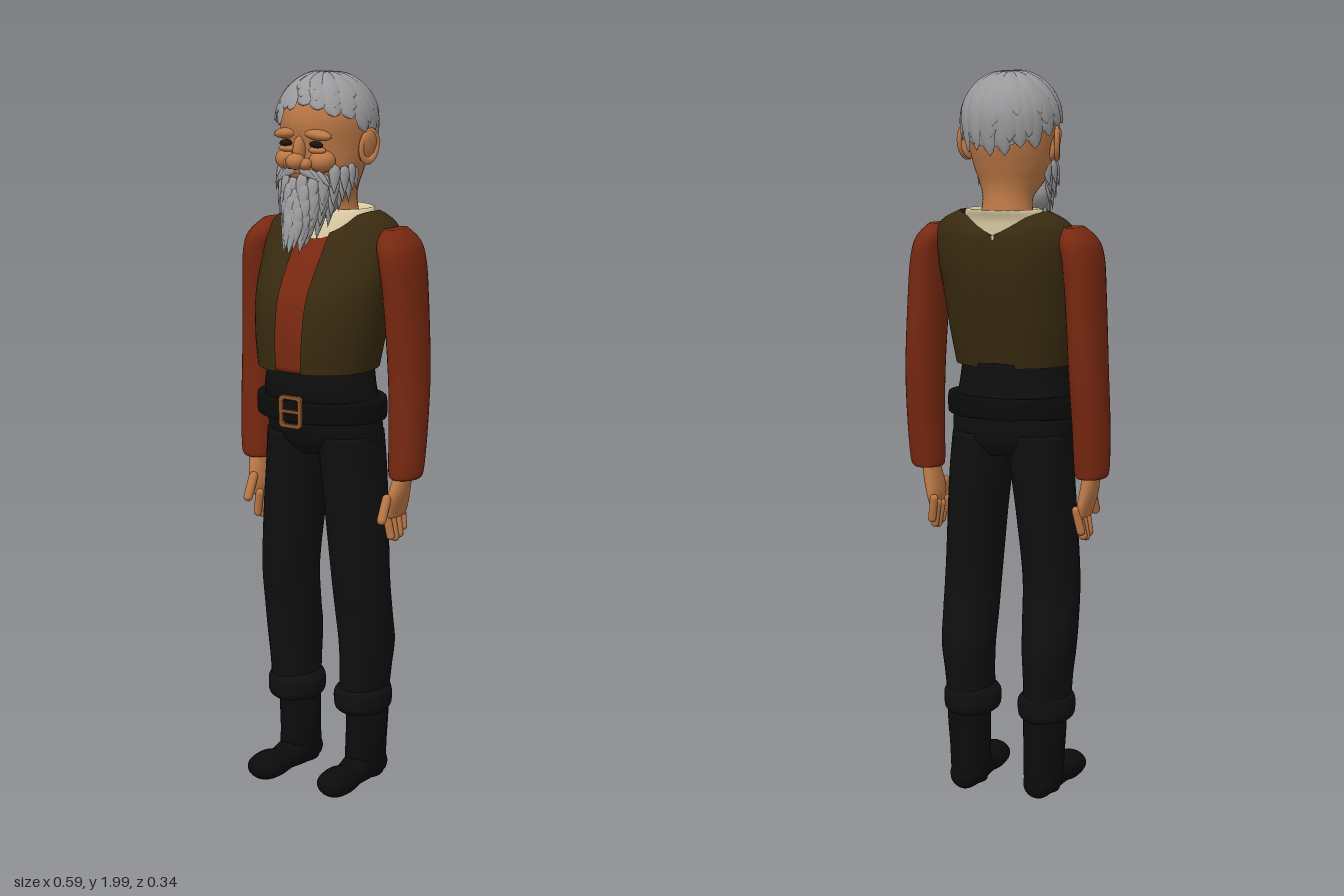
import * as THREE from 'three';
import { mergeVertices, mergeGeometries } from 'three/addons/utils/BufferGeometryUtils.js';

const mat = (name, color, double) => {
  const m = new THREE.MeshStandardMaterial({ color });
  m.name = name;
  if (double) m.side = THREE.DoubleSide;
  return m;
};

// Grid surface from a rule fn(u, v) -> [x, y, z], welded and smooth
function surface(nu, nv, fn) {
  const pos = [], idx = [];
  for (let j = 0; j <= nv; j++) for (let i = 0; i <= nu; i++) pos.push(...fn(i / nu, j / nv));
  for (let j = 0; j < nv; j++) for (let i = 0; i < nu; i++) {
    const a = j * (nu + 1) + i, c = a + nu + 1;
    idx.push(a, c, a + 1, a + 1, c, c + 1);
  }
  let g = new THREE.BufferGeometry();
  g.setAttribute('position', new THREE.Float32BufferAttribute(pos, 3));
  g.setIndex(idx);
  g = mergeVertices(g, 1e-5);
  g.computeVertexNormals();
  return g;
}

// Smooth loft through oval sections [y, xMin, xMax, zMin, zMax], listed upwards
function loft(S, { from = 0, to = Math.PI * 2, open = false, bend, n = 32, power = 1 } = {}) {
  const rows = (S.length - 1) * 5, total = open ? rows : rows + 2;
  const at = (t) => {
    const i = Math.min(Math.floor(t), S.length - 2), f = t - i;
    const p = (k) => S[Math.max(0, Math.min(S.length - 1, k))];
    return S[0].map((_, c) => {
      const a = p(i - 1)[c], b = p(i)[c], d = p(i + 1)[c], e = p(i + 2)[c];
      return b + 0.5 * f * (d - a + f * (2 * a - 5 * b + 4 * d - e + f * (3 * (b - d) + e - a)));
    });
  };
  const round = (v) => Math.sign(v) * Math.pow(Math.abs(v), power);
  return surface(n, total, (u, v) => {
    const row = Math.round(v * total) - (open ? 0 : 1);
    const shut = row < 0 || row > rows ? 0 : 1;
    const [y, x0, x1, z0, z1] = at(Math.max(0, Math.min(rows, row)) / 5);
    const a = from + (to - from) * u;
    const p = [(x0 + x1) / 2 + shut * round(Math.cos(a)) * (x1 - x0) / 2, y,
      (z0 + z1) / 2 + shut * round(Math.sin(a)) * (z1 - z0) / 2];
    return bend ? bend(p) : p;
  });
}

// Pointed leaf-shaped lock hanging from a root point
function leaf(root, dir, out, length, width) {
  const prof = [[0, -1], [0.3, -0.8], [0.75, -0.5], [1, -0.22], [0.75, 0], [0, 0.1]]
    .map(([r, y]) => new THREE.Vector2(r * width, y * length));
  const g = new THREE.LatheGeometry(prof, 10);
  g.scale(1, 1, 0.5);
  const Y = dir.clone().normalize().negate();
  const X = new THREE.Vector3().crossVectors(Y, out).normalize();
  const Z = new THREE.Vector3().crossVectors(X, Y);
  return g.applyMatrix4(new THREE.Matrix4().makeBasis(X, Y, Z).setPosition(root));
}

export function createModel() {
  const model = new THREE.Group();
  const skin = mat('skin', 0xbc7846), grey = mat('grey hair', 0x9a9a9c, true);
  const red = mat('rust shirt', 0x782810), olive = mat('olive vest', 0x382a10, true);
  const black = mat('black cloth', 0x0f0f10), leather = mat('black leather', 0x0b0b0c);
  const cream = mat('cream collar', 0xd8c8a2, true), copper = mat('copper buckle', 0x8a5228);
  const dark = mat('dark eye', 0x1c110b), lipRed = mat('lip', 0x8f4f34);
  const add = (parent, name, geo, m) => {
    const mesh = new THREE.Mesh(geo, m);
    mesh.name = name;
    parent.add(mesh);
    return mesh;
  };
  const ball = (parent, name, m, p, s, rz = 0) => {
    const b = add(parent, name, new THREE.SphereGeometry(1, 20, 14), m);
    b.position.set(...p);
    b.scale.set(...s);
    b.rotation.z = rz;
    return b;
  };

  // Torso: shirt below, open-fronted vest above, with a spine groove and dipped neckline
  const chest = [[1.205, -0.165, 0.165, -0.13, 0.172], [1.3, -0.18, 0.18, -0.148, 0.172],
    [1.4, -0.19, 0.19, -0.165, 0.155], [1.48, -0.197, 0.197, -0.172, 0.11],
    [1.55, -0.2, 0.2, -0.167, 0.06], [1.595, -0.18, 0.18, -0.155, 0.03], [1.625, -0.125, 0.125, -0.135, 0.0]];
  const drape = ([x, y, z]) => {
    const top = THREE.MathUtils.smoothstep(y, 1.55, 1.625);
    return [x, y - 0.05 * top * Math.max(0, 1 - Math.abs(x) / 0.12),
      z < -0.06 ? z + 0.02 * Math.exp(-((x / 0.03) ** 2)) * (1 - top) : z];
  };
  const inner = chest.slice(0, 6).map(([y, a, b, c, d]) => [y, a + 0.008, b - 0.008, c + 0.008, d - 0.008]);
  add(model, 'shirt', loft(inner, { bend: drape, power: 0.9 }), red);
  add(model, 'vest', loft(chest, { open: true, bend: drape, n: 56, power: 0.9,
    from: Math.PI / 2 + 0.2, to: Math.PI * 2.5 - 0.2 }), olive);
  add(model, 'collar', loft([[1.55, -0.125, 0.125, -0.148, 0.05], [1.6, -0.115, 0.115, -0.148, 0.03],
    [1.63, -0.1, 0.1, -0.155, 0.01], [1.605, -0.07, 0.07, -0.11, 0.02]], { open: true }), cream);

  // Trousers seat, belt and buckle
  add(model, 'trouserSeat', loft([[0.96, -0.1, 0.1, -0.1, 0.06], [1.0, -0.165, 0.165, -0.127, 0.1],
    [1.08, -0.168, 0.168, -0.135, 0.125], [1.15, -0.157, 0.157, -0.13, 0.155],
    [1.215, -0.145, 0.145, -0.135, 0.155]]), black);
  add(model, 'belt', loft([[1.065, -0.18, 0.18, -0.135, 0.14], [1.07, -0.19, 0.19, -0.14, 0.152],
    [1.118, -0.19, 0.19, -0.14, 0.152], [1.123, -0.178, 0.178, -0.13, 0.14]]), leather);
  const frame = (w, h, r, P) => {
    const s = new P();
    s.absarc(w - r, h - r, r, 0, Math.PI / 2);
    s.absarc(r - w, h - r, r, Math.PI / 2, Math.PI);
    s.absarc(r - w, r - h, r, Math.PI, Math.PI * 1.5);
    s.absarc(w - r, r - h, r, Math.PI * 1.5, Math.PI * 2);
    s.closePath();
    return s;
  };
  const plate = frame(0.036, 0.044, 0.012, THREE.Shape);
  plate.holes.push(frame(0.026, 0.034, 0.008, THREE.Path));
  add(model, 'buckle', new THREE.ExtrudeGeometry(plate, { depth: 0.009, bevelEnabled: false }), copper)
    .position.set(0, 1.097, 0.153);
  add(model, 'bucklePin', new THREE.BoxGeometry(0.06, 0.008, 0.007), copper).position.set(0, 1.097, 0.157);

  // Limbs, built on the model's left and mirrored
  for (const side of [1, -1]) {
    const limb = new THREE.Group();
    limb.name = side > 0 ? 'leftLimbs' : 'rightLimbs';
    limb.scale.x = side;
    model.add(limb);
    add(limb, 'trouserLeg', loft([[0.25, 0.05, 0.178, -0.115, 0.045], [0.34, 0.052, 0.184, -0.127, 0.05],
      [0.42, 0.048, 0.194, -0.13, 0.053], [0.5, 0.043, 0.197, -0.112, 0.06], [0.62, 0.038, 0.195, -0.1, 0.077],
      [0.8, 0.022, 0.183, -0.117, 0.09], [0.92, 0.007, 0.175, -0.123, 0.092],
      [1.02, 0, 0.165, -0.125, 0.1]]), black);
    add(limb, 'trouserCuff', loft([[0.22, 0.05, 0.175, -0.11, 0.04], [0.235, 0.036, 0.188, -0.122, 0.054],
      [0.275, 0.034, 0.19, -0.122, 0.055], [0.295, 0.05, 0.18, -0.115, 0.045]]), black);
    add(limb, 'bootShaft', loft([[0.02, 0.065, 0.155, -0.11, 0], [0.06, 0.058, 0.163, -0.12, 0.02],
      [0.12, 0.056, 0.168, -0.114, 0.012], [0.2, 0.054, 0.175, -0.11, 0.005],
      [0.28, 0.054, 0.177, -0.11, 0.005]]), leather);
    add(limb, 'bootFoot', loft([[-0.12, 0.09, 0.13, -0.05, -0.025], [-0.1, 0.07, 0.152, -0.09, -0.004],
      [-0.03, 0.062, 0.158, -0.1, -0.004], [0.04, 0.068, 0.16, -0.075, -0.01],
      [0.09, 0.066, 0.167, -0.083, -0.004], [0.14, 0.073, 0.163, -0.078, -0.01],
      [0.165, 0.1, 0.14, -0.055, -0.03]]).rotateX(Math.PI / 2), leather);
    add(limb, 'sleeve', loft([[0.908, 0.203, 0.28, -0.085, 0.008], [0.93, 0.197, 0.292, -0.09, 0.012],
      [1.05, 0.195, 0.296, -0.108, 0.013], [1.2, 0.19, 0.292, -0.13, 0.016], [1.4, 0.18, 0.281, -0.138, 0.03],
      [1.5, 0.17, 0.272, -0.14, 0.04], [1.55, 0.16, 0.256, -0.132, 0.03],
      [1.585, 0.17, 0.222, -0.1, -0.01]]), red);
    add(limb, 'palm', loft([[0.8, 0.21, 0.235, -0.07, 0.012], [0.83, 0.205, 0.244, -0.076, 0.022],
      [0.87, 0.21, 0.255, -0.07, 0.02], [0.93, 0.22, 0.265, -0.06, -0.005]]), skin);
    // Fingers and thumb
    [[0.004, 0.765], [-0.021, 0.757], [-0.045, 0.762], [-0.066, 0.778]].forEach(([z, y], i) => {
      const f = add(limb, 'finger', new THREE.CapsuleGeometry(0.0115, 0.06, 5, 10), skin);
      f.position.set(0.217, y + 0.013, z);
      f.rotation.set((1 - i) * 0.08, 0, 0.18);
    });
    const thumb = add(limb, 'thumb', new THREE.CapsuleGeometry(0.013, 0.06, 5, 10), skin);
    thumb.position.set(0.222, 0.83, 0.035);
    thumb.rotation.x = -0.45;

    // Face features of this side
    ball(limb, 'cheek', skin, [0.054, 1.768, 0.085], [0.036, 0.03, 0.035]);
    ball(limb, 'nostril', skin, [0.024, 1.762, 0.122], [0.018, 0.016, 0.02]);
    ball(limb, 'brow', skin, [0.046, 1.838, 0.098], [0.044, 0.015, 0.022], -0.12);
    ball(limb, 'eye', dark, [0.048, 1.812, 0.105], [0.02, 0.009, 0.013], -0.1);
    ball(limb, 'lowerLid', skin, [0.048, 1.797, 0.1], [0.026, 0.01, 0.015]);
    const ear = ball(limb, 'ear', skin, [0.128, 1.8, -0.02], [0.012, 0.045, 0.028], -0.25);
    ear.rotation.y = -0.35;
    const rim = add(limb, 'earRim', new THREE.TorusGeometry(0.026, 0.007, 8, 20), skin);
    rim.position.set(0.133, 1.802, -0.02);
    rim.rotation.set(0, Math.PI / 2 - 0.35, -0.2);
    rim.scale.y = 1.5;
  }

  // Head and neck
  add(model, 'head', loft([[1.57, -0.08, 0.08, -0.125, 0.02], [1.65, -0.068, 0.068, -0.11, 0.02],
    [1.695, -0.085, 0.085, -0.11, 0.075], [1.74, -0.104, 0.104, -0.122, 0.105],
    [1.8, -0.115, 0.115, -0.138, 0.108], [1.87, -0.118, 0.118, -0.145, 0.118],
    [1.93, -0.1, 0.1, -0.13, 0.098], [1.975, -0.05, 0.05, -0.08, 0.04]]), skin);
  ball(model, 'noseTip', skin, [0, 1.768, 0.132], [0.026, 0.022, 0.026]);
  ball(model, 'noseBridge', skin, [0, 1.795, 0.114], [0.016, 0.038, 0.02]);
  ball(model, 'mouth', lipRed, [0, 1.727, 0.113], [0.03, 0.008, 0.012]);

  // Hair: a cap with swirling locks laid over it
  const hairPoint = (az, th, k) => {
    const r = th < Math.PI / 2 ? Math.sin(th) : Math.pow(Math.sin(th), 0.4);
    return [0.132 * k * r * Math.sin(az), 1.862 + 0.132 * k * Math.cos(th), -0.018 + 0.145 * k * r * Math.cos(az)];
  };
  const hairline = (az) => {
    const a = Math.atan2(Math.sin(az), Math.cos(az));
    return 1.68 - 0.52 * Math.cos(a) + 0.3 * Math.exp(-(((a + 0.65) / 0.35) ** 2));
  };
  add(model, 'hairCap', surface(48, 20, (u, v) => {
    const az = u * Math.PI * 2;
    return hairPoint(az, 0.001 + v * (hairline(az) - 0.1), 0.985);
  }), grey);
  const locks = [];
  [[13, 0.02, 0.72, 0.04, 0.3], [16, 0.5, 0.9, 0.03, 0.2], [19, 0.8, 1.04, 0.02, 0.12]].forEach(
    ([n, start, reach, lift, swirl], row) => {
      for (let i = 0; i < n; i++) {
        const az = (i + row * 0.5) / n * Math.PI * 2;
        const end = hairline(az + swirl) * (reach + 0.04 * Math.sin(i * 2.4));
        const half = Math.PI / n * 1.25;
        locks.push(surface(8, 12, (u, v) => {
          const s = u * 2 - 1, w = half * Math.sqrt(Math.max(0, 1 - Math.pow(v, 4)));
          const k = 0.985 + lift * 0.6 * Math.min(1, v * 3) + 0.035 * (1 - s * s) * Math.min(1, v * 4) + s * 0.012;
          return hairPoint(az + swirl * v + s * w, start + v * (end - start), k);
        }));
      }
    });
  add(model, 'hairLocks', mergeGeometries(locks), grey);

  // Beard: rounded core, rows of pointed locks and a moustache
  ball(model, 'beardCore', grey, [0, 1.665, 0.06], [0.084, 0.062, 0.066]);
  const tufts = [];
  for (let r = 0; r < 6; r++) {
    const n = 13 - r, spread = 1.95 - 0.2 * r;
    for (let i = 0; i < n; i++) {
      const a = (i / (n - 1) * 2 - 1) * spread;
      if (r === 0 && Math.abs(a) < 0.7) continue;
      const out = new THREE.Vector3(Math.sin(a), 0, Math.cos(a));
      const root = new THREE.Vector3((0.104 - 0.011 * r) * out.x, 1.752 - 0.027 * r + 0.006 * Math.sin(i * 3.1 + r),
        0.025 + 0.008 * r + 0.088 * out.z);
      const dir = new THREE.Vector3(0.12 * out.x * (1 - r * 0.4), -1, 0.12 + 0.14 * out.z);
      tufts.push(leaf(root, dir, out, 0.068 + 0.012 * Math.max(0, out.z) + 0.002 * r, 0.017));
    }
  }
  for (const s of [1, -1]) for (let i = 0; i < 3; i++) {
    tufts.push(leaf(new THREE.Vector3(s * (0.012 + 0.02 * i), 1.746 - 0.004 * i, 0.122 - 0.008 * i),
      new THREE.Vector3(s, -0.55 - 0.2 * i, -0.2), new THREE.Vector3(s * 0.3, 0, 1), 0.055, 0.011));
  }
  add(model, 'beard', mergeGeometries(tufts), grey);
  return model;
}
